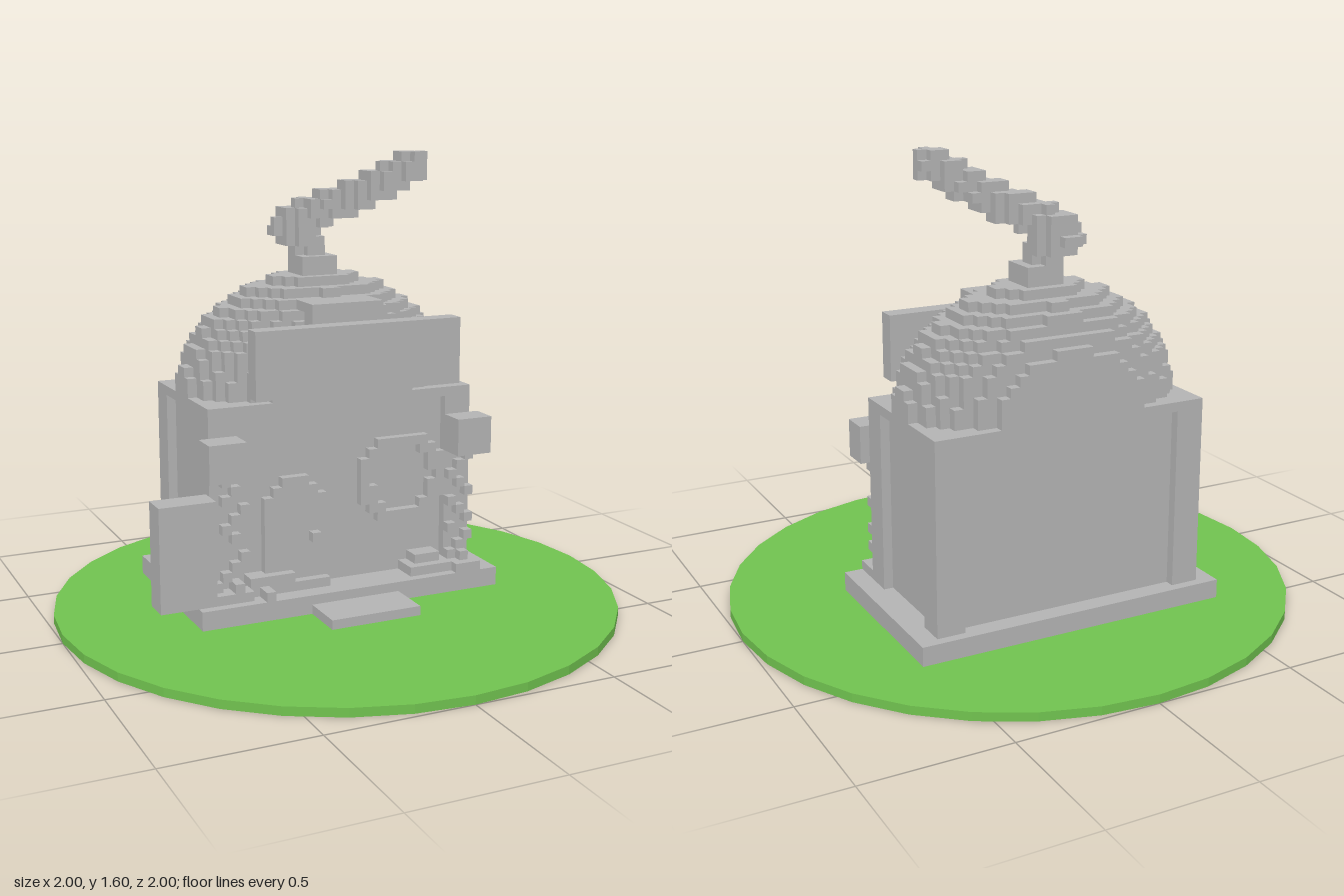
import * as THREE from 'three';
import { mergeGeometries } from 'three/addons/utils/BufferGeometryUtils.js';

const U = 1 / 30;    // size of one cell
const FLOOR = 0.03;  // top of the lawn

// Box between cell corners [x0, x1, y0, y1, z0, z1]
function cellBox([x0, x1, y0, y1, z0, z1]) {
  const g = new THREE.BoxGeometry((x1 - x0) * U, (y1 - y0) * U, (z1 - z0) * U);
  g.translate((x0 + x1) / 2 * U, FLOOR + (y0 + y1) / 2 * U, (z0 + z1) / 2 * U);
  return g;
}

export function createModel() {
  const group = new THREE.Group();
  const stone = new THREE.MeshStandardMaterial({ color: 0xb4b4b4, flatShading: true });
  stone.name = 'stone grey';
  const grass = new THREE.MeshStandardMaterial({ color: 0x70c24f, flatShading: true });
  grass.name = 'grass green';

  const add = (name, boxes) => {
    const mesh = new THREE.Mesh(mergeGeometries(boxes.map(cellBox)), stone);
    mesh.name = name;
    group.add(mesh);
  };

  // Round lawn
  const lawn = new THREE.Mesh(new THREE.CylinderGeometry(1, 1, FLOOR, 32), grass);
  lawn.name = 'lawn';
  lawn.position.y = FLOOR / 2;
  group.add(lawn);

  // Foundation and doorstep
  add('foundation', [[-17, 17, 0, 2, -15, 5]]);
  add('doorstep', [[-5, 5, 0, 1, 5, 10]]);

  // Recessed walls, corner posts and top beam
  add('walls', [[-14, 14, 2, 21, -13, 1]]);
  const posts = [];
  for (const x of [-15, 12]) for (const z of [-14, -1]) posts.push([x, x + 3, 2, 21, z, z + 3]);
  add('cornerPosts', posts);
  add('topBeam', [[-15, 15, 21, 22, -14, 2]]);

  // Stepped dome roof: an ellipsoid cut flush with the front and back walls
  const dome = [];
  for (let k = 0; k < 12; k++) {
    for (let z = -14; z < 2; z++) {
      const s = 1 - ((k + 0.5) / 12.2) ** 2 - ((z + 6.5) / 9) ** 2;
      const half = s > 0 ? Math.round(15 * Math.sqrt(s)) : 0;
      if (half > 0) dome.push([-half, half, 22 + k, 23 + k, z, z + 1]);
    }
  }
  add('domeRoof', dome);

  // Sign board with its bracket
  add('signBoard', [[-11, 12, 23, 30, 3, 5]]);
  add('signBracket', [[-4, 4, 27, 31, 1, 3], [-4, 4, 31, 32, -3, 3]]);

  // Chimney and curling smoke
  add('chimney', [[-2, 2, 34, 36, -8, -4], [-1, 1, 36, 38, -7, -5]]);
  const path = new THREE.CatmullRomCurve3([
    [-0.5, 37.5, -6.5], [-2, 38.8, -8], [0, 40.5, -6], [3, 42, -3.5], [6, 43.8, -1], [8.2, 45.5, 0.3],
  ].map((p) => new THREE.Vector3(...p)));
  const smoke = new Map();
  for (const p of path.getPoints(30)) {
    for (let x = -2; x <= 2; x++) for (let y = -2; y <= 2; y++) for (let z = -2; z <= 2; z++) {
      const c = [Math.floor(p.x) + x, Math.floor(p.y) + y, Math.floor(p.z) + z];
      const d = Math.hypot(c[0] + 0.5 - p.x, c[1] + 0.5 - p.y, c[2] + 0.5 - p.z);
      if (d < 1.7) smoke.set(c.join(), [c[0], c[0] + 1, c[1], c[1] + 1, c[2], c[2] + 1]);
    }
  }
  add('smoke', [...smoke.values()]);

  // Arched door and knob
  add('door', [[-9, -2, 2, 12, 1, 2], [-8, -3, 12, 13, 1, 2], [-7, -4, 13, 14, 1, 2]]);
  add('doorKnob', [[-4, -3, 7, 8, 2, 3]]);

  // Round window frame
  const frame = [];
  for (let x = 2; x < 12; x++) for (let y = 8; y < 17; y++) {
    const d = Math.hypot(x + 0.5 - 7, y + 0.5 - 12.5);
    if (d > 3.6 && d < 4.95) frame.push([x, x + 1, y, y + 1, 1, 2]);
  }
  add('windowFrame', frame);

  // Wall lanterns
  add('leftLantern', [[12, 16, 15, 19, 2, 5]]);
  add('rightLantern', [[-16, -12, 15, 19, 2, 5]]);

  // Upright board beside the house
  add('sideBoard', [[-21, -15, 2, 13, 1, 4]]);

  // Climbing leaves on the front posts and plants along the foundation
  const leaves = [
    [-15, 3], [-14, 4], [-13, 5], [-12, 6], [-13, 8], [-14, 9], [-13, 10], [-12, 11],
    [-14, 12], [-13, 13], [-14, 14], [12, 3], [13, 4], [14, 5], [12, 6], [14, 7],
    [13, 8], [12, 9], [14, 10], [13, 11], [12, 12], [13, 13], [14, 14],
  ];
  add('climbingLeaves', leaves.map(([x, y]) => [x, x + 1, y, y + 1, 2, 3]));
  add('plants', [
    [-15, -11, 2, 3, 2, 4], [-13, -12, 3, 4, 2, 4], [-11, -6, 2, 4, 1, 3], [-10, -9, 2, 3, 3, 5],
    [-6, -2, 2, 3, 2, 3], [7, 12, 2, 3, 1, 4], [8, 11, 3, 4, 1, 3], [12, 15, 2, 3, 2, 5], [13, 14, 3, 4, 2, 4],
  ]);

  return group;
}
